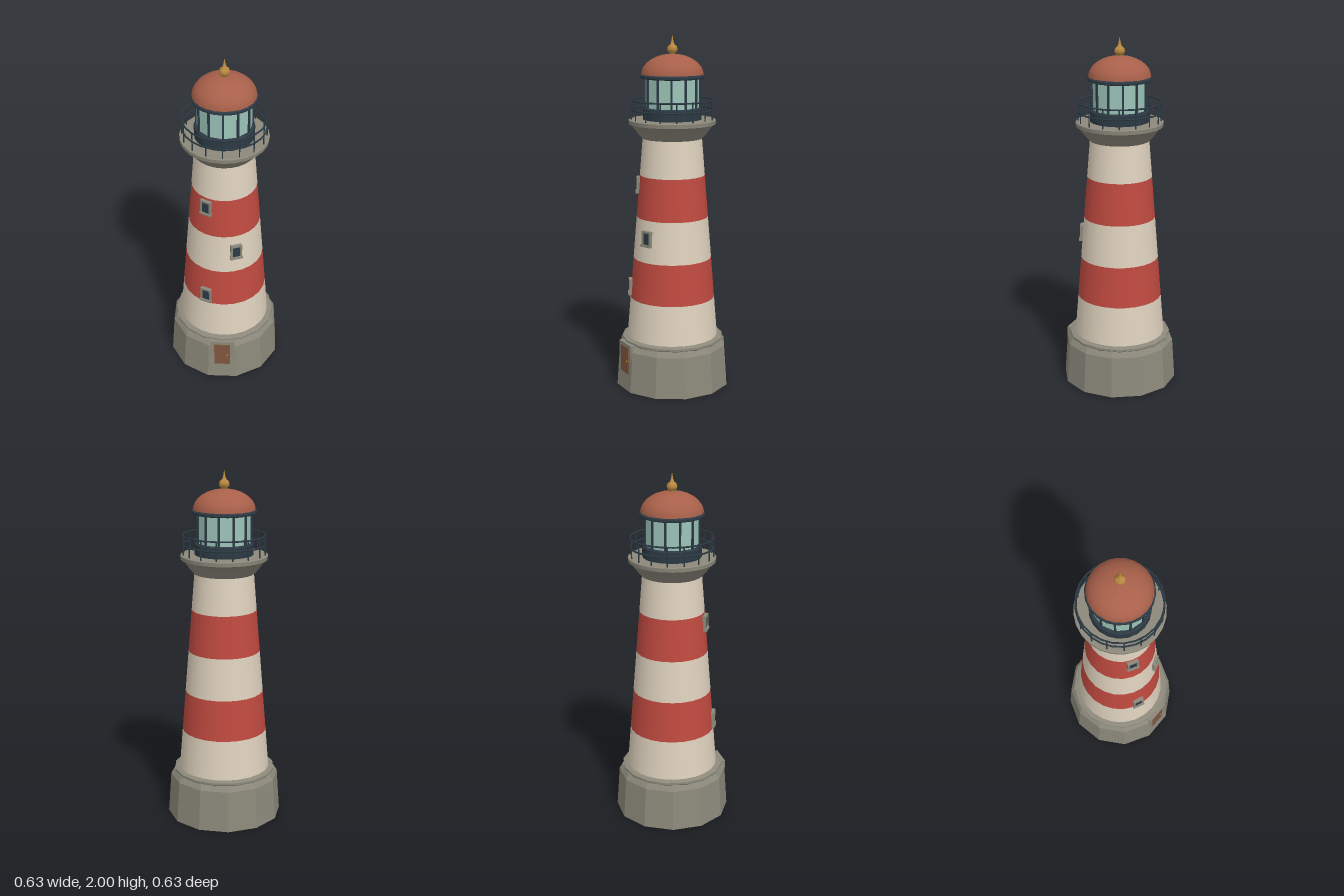
import * as THREE from 'three';
import { toCreasedNormals } from 'three/addons/utils/BufferGeometryUtils.js';

const paint = (name, color) => {
  const m = new THREE.MeshStandardMaterial({ color });
  m.name = name;
  return m;
};

export function createModel() {
  const stone = paint('stone', 0x8c897b);
  const cream = paint('cream', 0xdfd2be);
  const red = paint('red', 0xc04a40);
  const iron = paint('dark iron', 0x2c3a44);
  const glass = paint('glass', 0x9cc4b8);
  const roof = paint('terracotta', 0xa8604a);
  const gold = paint('gold', 0xb8893f);
  const wood = paint('wood', 0x80573f);

  const model = new THREE.Group();
  model.name = 'lighthouse';

  const add = (name, geometry, material, x = 0, y = 0, z = 0, parent = model) => {
    const mesh = new THREE.Mesh(geometry, material);
    mesh.name = name;
    mesh.position.set(x, y, z);
    parent.add(mesh);
    return mesh;
  };
  const group = (name, angle = 0) => {
    const g = new THREE.Group();
    g.name = name;
    g.rotation.y = angle;
    model.add(g);
    return g;
  };
  // Turned part from [radius, height] pairs; edges sharper than the crease stay hard
  const turned = (points, sides, crease = 0.5, start = 0) => toCreasedNormals(
    new THREE.LatheGeometry(points.map(([r, y]) => new THREE.Vector2(r, y)), sides, start), crease);
  const box = (w, h, d) => new THREE.BoxGeometry(w, h, d);

  // Twelve-sided plinth with a flat side to the front, and the ring on top
  const k = 1 / Math.cos(Math.PI / 12);
  add('plinth', turned([[0, 0], [0.317 * k, 0], [0.301 * k, 0.235], [0.283 * k, 0.265], [0, 0.265]],
    12, 0.05, Math.PI / 12), stone);
  add('plinthRing', turned([[0, 0.26], [0.284, 0.26], [0.291, 0.268], [0.291, 0.28], [0.275, 0.287], [0, 0.287]],
    16, 0.5), stone);

  // Tapered tower in alternating bands
  const towerRadius = (y) => 0.26 - 0.094 * (y - 0.28) / 1.16;
  const levels = [0.28, 0.513, 0.746, 0.984, 1.222, 1.44];
  for (let i = 0; i < 5; i++) {
    const [a, b] = [levels[i], levels[i + 1]];
    add('towerBand' + (i + 1), new THREE.CylinderGeometry(towerRadius(b), towerRadius(a), b - a, 24, 1, true),
      i % 2 ? red : cream, 0, (a + b) / 2);
  }

  // Flared gallery deck
  add('galleryDeck', turned([[0, 1.43], [0.17, 1.43], [0.19, 1.452], [0.228, 1.502], [0.243, 1.51],
    [0.245, 1.532], [0.24, 1.536], [0, 1.536]], 24, 0.6), stone);

  // Gallery railing
  const railing = group('railing');
  for (const y of [1.59, 1.643]) {
    const rail = new THREE.TorusGeometry(0.23, 0.005, 6, 24).rotateX(Math.PI / 2);
    add('rail', rail, iron, 0, y, 0, railing);
  }
  for (let i = 0; i < 16; i++) {
    const a = i * Math.PI / 8;
    add('railPost', new THREE.CylinderGeometry(0.004, 0.004, 0.112, 6), iron,
      0.23 * Math.sin(a), 1.589, 0.23 * Math.cos(a), railing);
  }

  // Lantern room
  add('lanternBase', turned([[0, 1.53], [0.165, 1.53], [0.165, 1.596], [0.158, 1.602], [0, 1.602]], 20), iron);
  add('lanternGlass', turned([[0.15, 1.6], [0.15, 1.768]], 12, 0.1), glass);
  const bars = group('glazingBars');
  for (let i = 0; i < 12; i++) {
    const a = i * Math.PI / 6;
    const bar = add('glazingBar', box(0.011, 0.17, 0.011), iron,
      0.152 * Math.sin(a), 1.684, 0.152 * Math.cos(a), bars);
    bar.rotation.y = a;
  }
  add('eaves', turned([[0, 1.762], [0.172, 1.762], [0.181, 1.767], [0.181, 1.778], [0.174, 1.785], [0, 1.785]], 20), iron);

  // Domed roof
  const dome = [];
  for (let i = 0; i <= 8; i++) {
    const t = i / 8 * Math.PI / 2;
    dome.push([i === 8 ? 0 : 0.174 * Math.cos(t), 1.78 + 0.117 * Math.sin(t)]);
  }
  add('domeRoof', turned(dome, 24, 1), roof);

  // Finial: collar, ball and spike
  add('finial', turned([[0.016, 1.885], [0.016, 1.9], [0.026, 1.909], [0.03, 1.923], [0.025, 1.938],
    [0.012, 1.949], [0.007, 1.962], [0, 2]], 16, 0.9), gold);

  // Windows set around the front: [angle, height]
  for (const [angle, y] of [[-0.51, 1.165], [0.355, 0.885], [-0.41, 0.573]]) {
    const w = group('window', angle);
    const z = towerRadius(y) + 0.014;
    for (const s of [-1, 1]) add('windowJamb', box(0.011, 0.086, 0.045), stone, s * 0.027, y, z - 0.0225, w);
    add('windowLintel', box(0.065, 0.011, 0.045), stone, 0, y + 0.038, z - 0.0225, w);
    add('windowSill', box(0.072, 0.012, 0.055), stone, 0, y - 0.04, z - 0.0215, w);
    add('windowPane', box(0.046, 0.072, 0.008), iron, 0, y, z - 0.008, w);
  }

  // Doorway
  const doorway = group('doorway');
  add('doorSurround', box(0.144, 0.27, 0.06), stone, 0, 0.136, 0.277, doorway);
  add('door', box(0.094, 0.25, 0.03), wood, 0, 0.126, 0.2955, doorway);
  add('doorKnob', new THREE.SphereGeometry(0.005, 8, 6), gold, 0.031, 0.17, 0.313, doorway);

  return model;
}
